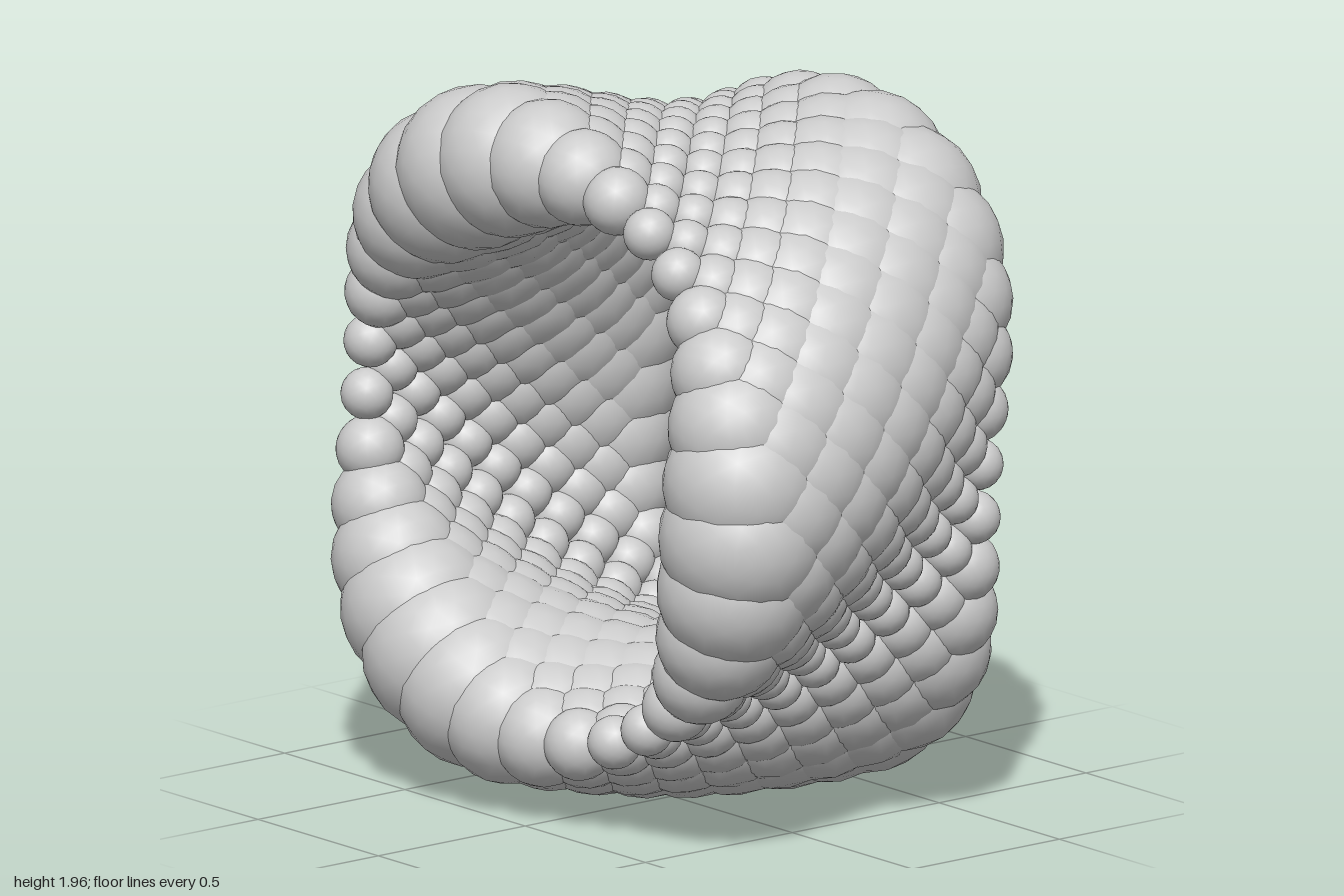
import * as THREE from 'three';
import { mergeGeometries } from 'three/addons/utils/BufferGeometryUtils.js';

const ROWS = 11;            // rings of beads from front to back
const BEADS = 33;           // beads in each ring
const RING_RADIUS = 0.78;
const HALF_DEPTH = 0.4;
const TWIST = Math.PI / 3;  // turn of the pattern from front to back
const START = THREE.MathUtils.degToRad(5);
const THIN = THREE.MathUtils.degToRad(55);

// Bead size swells and shrinks three times around each ring
const beadRadius = (angle) => 0.144 - 0.076 * Math.cos(3 * (angle - THIN));

// One ring of overlapping beads, turned by the twist for its depth
function beadRing(row, material) {
  const t = row / (ROWS - 1);
  const z = HALF_DEPTH * (1 - 2 * t);
  const beads = [];
  for (let i = 0; i < BEADS; i++) {
    const base = START + (i / BEADS) * Math.PI * 2;
    const angle = base + TWIST * t;
    const bead = new THREE.IcosahedronGeometry(beadRadius(base), 3);
    bead.rotateZ(angle);
    bead.translate(RING_RADIUS * Math.cos(angle), 1 + RING_RADIUS * Math.sin(angle), z);
    beads.push(bead);
  }
  const mesh = new THREE.Mesh(mergeGeometries(beads), material);
  mesh.name = `beadRing${row + 1}`;
  return mesh;
}

export function createModel() {
  const group = new THREE.Group();
  group.name = 'twistedBeadRing';
  const material = new THREE.MeshStandardMaterial({ color: 0xcccccc });
  for (let row = 0; row < ROWS; row++) group.add(beadRing(row, material));
  return group;
}
